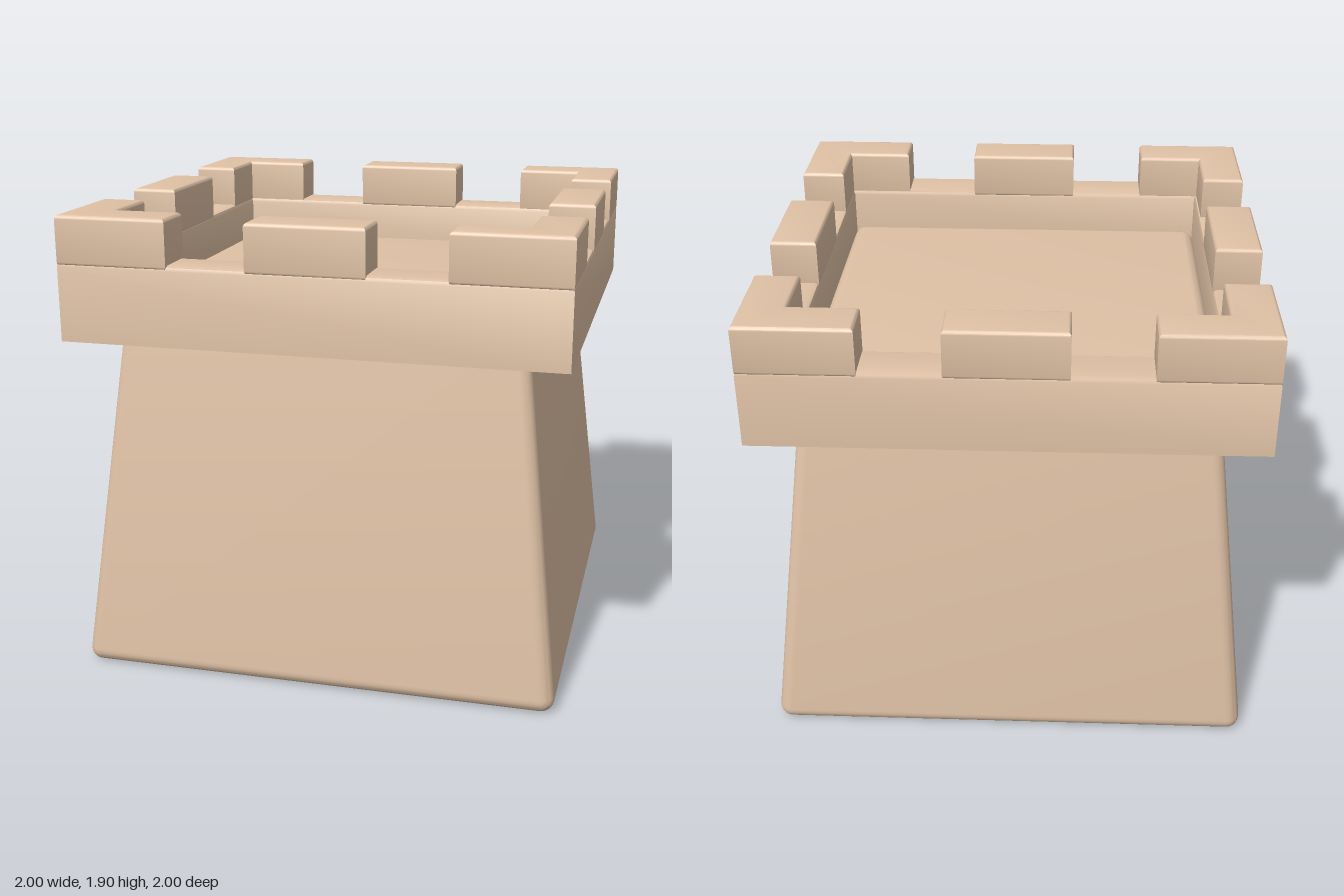
import * as THREE from 'three';
import { toCreasedNormals } from 'three/addons/utils/BufferGeometryUtils.js';
import { RoundedBoxGeometry } from 'three/addons/geometries/RoundedBoxGeometry.js';

const stone = new THREE.MeshStandardMaterial({ color: 0xe0c2a6, side: THREE.DoubleSide });
const FLOOR = 1.55, CREASE = 0.6;

function addPart(parent, name, geometry) {
  const mesh = new THREE.Mesh(toCreasedNormals(geometry, CREASE), stone);
  mesh.name = name;
  parent.add(mesh);
  return mesh;
}

// Rounded block that narrows towards the top
function towerGeometry() {
  const geo = new RoundedBoxGeometry(1.98, FLOOR, 1.98, 5, 0.06);
  geo.translate(0, FLOOR / 2, 0);
  const p = geo.attributes.position;
  for (let i = 0; i < p.count; i++) {
    const s = 1 - 0.117 * p.getY(i);
    p.setX(i, p.getX(i) * s);
    p.setZ(i, p.getZ(i) * s);
  }
  return geo;
}

// Square ring, open underneath, from a wall profile turned in four steps
function parapetGeometry() {
  const profile = [
    [1, 1.4], [1, 1.7], [0.994, 1.714], [0.98, 1.72],
    [0.83, 1.72], [0.816, 1.714], [0.81, 1.7], [0.81, 1.48],
  ].map(([r, y]) => new THREE.Vector2(r * Math.SQRT2, y));
  return new THREE.LatheGeometry(profile, 4, Math.PI / 4);
}

// Plan outline raised into a block with softened edges
function merlonGeometry(outline) {
  const shape = new THREE.Shape(outline.map(([x, y]) => new THREE.Vector2(x, y)));
  const b = 0.016;
  const geo = new THREE.ExtrudeGeometry(shape, {
    depth: 0.2 - 2 * b, bevelEnabled: true, bevelThickness: b,
    bevelSize: b, bevelOffset: -b, bevelSegments: 4,
  });
  geo.rotateX(-Math.PI / 2);
  geo.translate(0, 1.7 + b, 0);
  return geo;
}

export function createModel() {
  const model = new THREE.Group();
  model.name = 'castleTower';

  addPart(model, 'towerBody', towerGeometry());
  addPart(model, 'parapet', parapetGeometry());

  // One corner and one middle merlon for each side
  const corner = merlonGeometry([
    [-1, 1], [-1, 0.55], [-0.815, 0.55], [-0.815, 0.82], [-0.545, 0.82], [-0.545, 1],
  ]);
  const middle = merlonGeometry([[-0.235, 0.81], [0.235, 0.81], [0.235, 1], [-0.235, 1]]);
  const merlons = new THREE.Group();
  merlons.name = 'merlons';
  for (let i = 0; i < 4; i++) {
    addPart(merlons, 'cornerMerlon', corner).rotation.y = i * Math.PI / 2;
    addPart(merlons, 'middleMerlon', middle).rotation.y = i * Math.PI / 2;
  }
  model.add(merlons);
  return model;
}
